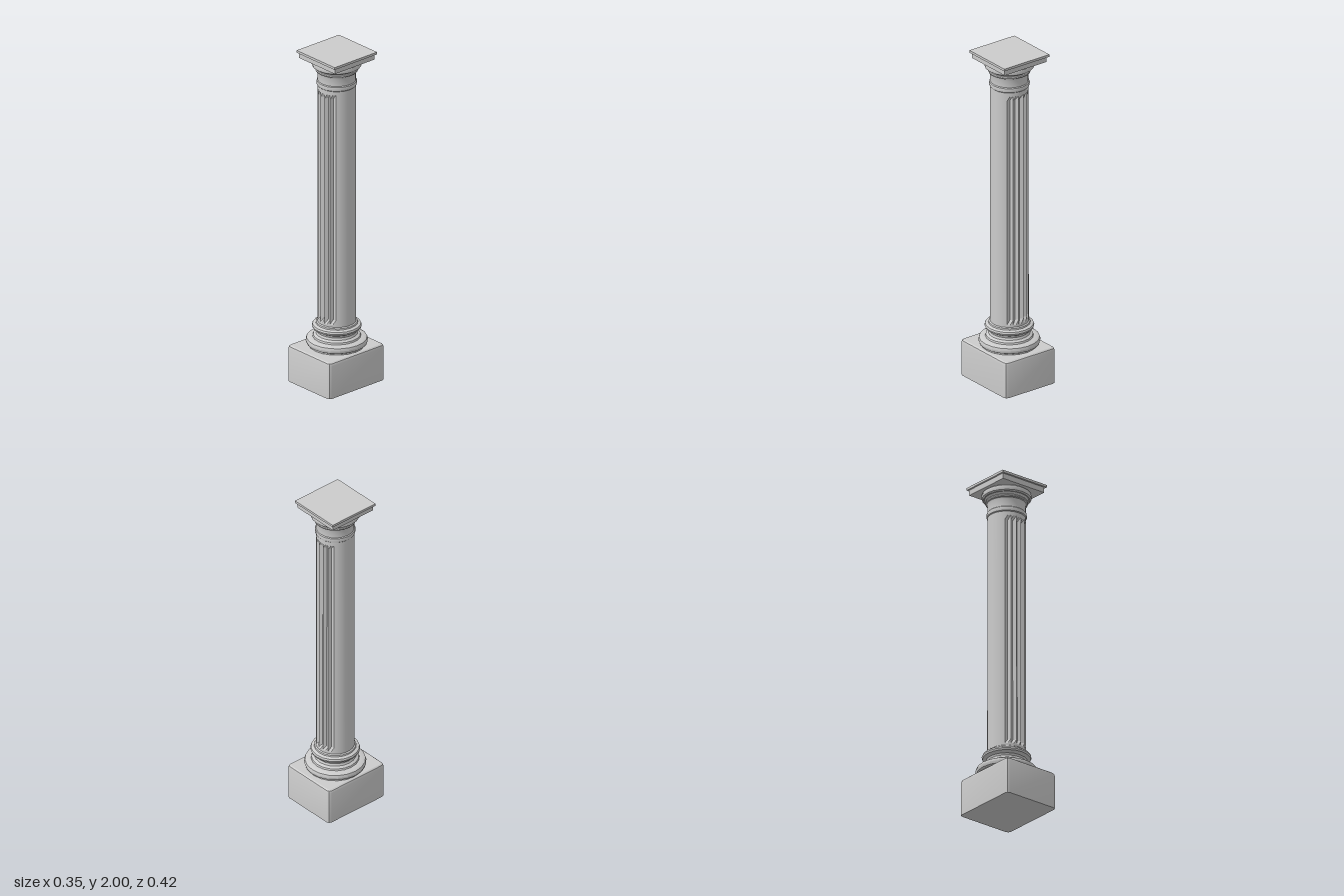
import * as THREE from 'three';
import { toCreasedNormals, mergeVertices } from 'three/addons/utils/BufferGeometryUtils.js';

const SIDES = 20;
const material = new THREE.MeshStandardMaterial({ color: 0xcccccc });

function addMesh(parent, name, geometry, crease = 0.6) {
  const mesh = new THREE.Mesh(toCreasedNormals(geometry, crease), material);
  mesh.name = name;
  parent.add(mesh);
  return mesh;
}

// Joins equal rings of [x, y, z] points, bottom to top; rings run from +z towards +x.
function loft(rings, capped = false) {
  const n = rings[0].length;
  const index = [];
  for (let r = 0; r < rings.length - 1; r++) {
    for (let i = 0; i < n; i++) {
      const a = r * n + i, b = r * n + (i + 1) % n;
      index.push(a, b, b + n, a, b + n, a + n);
    }
  }
  if (capped) {
    const top = (rings.length - 1) * n;
    for (let i = 1; i < n - 1; i++) {
      index.push(0, i + 1, i, top, top + i, top + i + 1);
    }
  }
  const geometry = new THREE.BufferGeometry();
  geometry.setAttribute('position', new THREE.Float32BufferAttribute(rings.flat(2), 3));
  geometry.setIndex(index);
  return geometry;
}

// Rectangular ring with rounded corners
function roundedRing(hx, hz, radius, y) {
  const ring = [];
  const corners = [[1, 1], [1, -1], [-1, -1], [-1, 1]];
  corners.forEach(([sx, sz], k) => {
    for (let j = 0; j <= 2; j++) {
      const a = (k + j / 2) * Math.PI / 2;
      ring.push([sx * (hx - radius) + radius * Math.sin(a), y,
        sz * (hz - radius) + radius * Math.cos(a)]);
    }
  });
  return ring;
}

function turned(parent, name, profile) {
  const points = profile.map(([r, y]) => new THREE.Vector2(r, y));
  const lathe = new THREE.LatheGeometry(points, SIDES);
  lathe.deleteAttribute('normal');
  lathe.deleteAttribute('uv');
  addMesh(parent, name, mergeVertices(lathe));
}

// Half-round moulding profile between two heights
function bead(inner, outer, y0, y1, steps = 4) {
  const points = [];
  for (let i = 0; i <= steps; i++) {
    const a = (i / steps - 0.5) * Math.PI;
    points.push([inner + (outer - inner) * Math.cos(a), (y0 + y1) / 2 + (y1 - y0) / 2 * Math.sin(a)]);
  }
  return points;
}

// Shaft ring: V-shaped flutes on the front and back, plain sides
function shaftRing(radius, depth, y) {
  const ring = [];
  for (let i = 0; i < SIDES * 2; i++) {
    const a = i * Math.PI / SIDES;
    const fromAxis = Math.min(i % SIDES, SIDES - i % SIDES); // steps from front or back
    const fluted = fromAxis <= 4 && fromAxis % 2 === 0;
    const r = radius - (fluted ? depth : 0);
    ring.push([r * Math.sin(a), y, r * Math.cos(a)]);
  }
  return ring;
}

export function createModel() {
  const group = new THREE.Group();
  group.name = 'column';

  // Block plinth with softened vertical and top edges
  addMesh(group, 'plinth', loft([
    roundedRing(0.176, 0.208, 0.02, 0),
    roundedRing(0.177, 0.208, 0.02, 0.2),
    roundedRing(0.174, 0.205, 0.02, 0.212),
    roundedRing(0.166, 0.197, 0.018, 0.218),
  ], true), 0.5);

  // Everything above the plinth sits slightly off its centre
  const upper = new THREE.Group();
  upper.name = 'columnUpper';
  upper.position.set(-0.003, 0, -0.0085);
  group.add(upper);

  turned(upper, 'base', [
    [0.158, 0.212], [0.158, 0.225],
    ...bead(0.158, 0.174, 0.225, 0.268),
    [0.135, 0.27], [0.132, 0.28], [0.117, 0.289], [0.112, 0.302], [0.116, 0.314], [0.124, 0.32],
    ...bead(0.126, 0.139, 0.32, 0.35),
    [0.118, 0.352], [0.116, 0.36], [0.107, 0.366],
  ]);

  addMesh(upper, 'shaft', loft([
    shaftRing(0.108, 0, 0.355),
    shaftRing(0.108, 0, 0.378),
    shaftRing(0.108, 0.015, 0.405),
    shaftRing(0.107, 0.015, 1.75),
    shaftRing(0.107, 0, 1.777),
    shaftRing(0.107, 0, 1.8),
  ]), 0.35);

  turned(upper, 'neckAndEchinus', [
    [0.106, 1.795],
    ...bead(0.107, 0.114, 1.8, 1.832),
    [0.107, 1.835], [0.107, 1.875], [0.111, 1.886],
    ...bead(0.113, 0.12, 1.886, 1.904),
    [0.117, 1.908], [0.124, 1.915],
    ...bead(0.13, 0.141, 1.915, 1.952),
    [0.125, 1.957],
  ]);

  // Square abacus: lower slab and wider crowning slab
  const lower = addMesh(upper, 'abacusLower', new THREE.BoxGeometry(0.296, 0.034, 0.296));
  lower.position.y = 1.971;
  const crown = addMesh(upper, 'abacusCrown', new THREE.BoxGeometry(0.317, 0.014, 0.317));
  crown.position.y = 1.993;

  return group;
}
